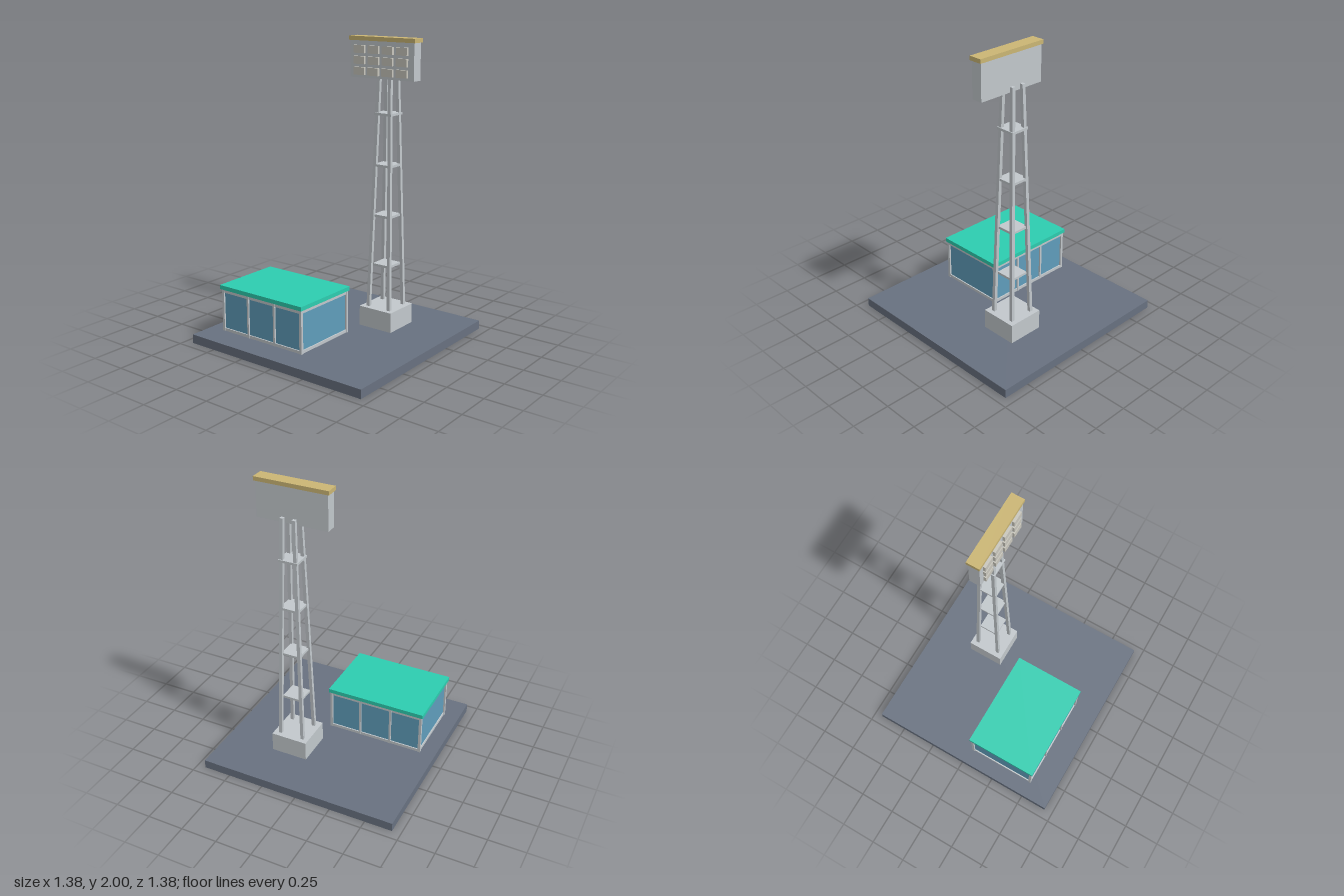
import * as THREE from 'three';

const mat = (name, color) => new THREE.MeshStandardMaterial({ name, color });

export function createModel() {
  const slate = mat('slate', 0x687180);
  const steel = mat('pale steel', 0xc2c8cc);
  const glass = mat('blue glass', 0x5f9dbb);
  const teal = mat('teal roof', 0x2dcdb0);
  const gold = mat('sand gold', 0xcbb674);
  const lampMat = mat('warm lamp', 0xc9c7bd);

  const model = new THREE.Group();
  model.name = 'floodlightTowerSite';

  const group = (name) => {
    const g = new THREE.Group();
    g.name = name;
    model.add(g);
    return g;
  };
  // Box given by its minimum and maximum on each axis
  const box = (parent, name, material, [x0, x1], [y0, y1], [z0, z1]) => {
    const mesh = new THREE.Mesh(new THREE.BoxGeometry(x1 - x0, y1 - y0, z1 - z0), material);
    mesh.position.set((x0 + x1) / 2, (y0 + y1) / 2, (z0 + z1) / 2);
    mesh.name = name;
    parent.add(mesh);
    return mesh;
  };
  const around = (c, half) => [c - half, c + half];

  const ground = 0.06;
  box(model, 'baseSlab', slate, [-0.69, 0.69], [0, ground], [-0.69, 0.69]);

  // Glazed hut
  const hut = group('hut');
  const X = [-0.58, 0.095], Z = [0.03, 0.51];
  const post = 0.014, eave = 0.352;
  box(hut, 'glazing', glass, [X[0] + 0.008, X[1] - 0.008], [ground, eave], [Z[0] + 0.008, Z[1] - 0.008]);
  box(hut, 'roof', teal, [-0.593, 0.106], [eave, 0.38], [0.02, 0.522]);
  for (const [name, y] of [['bottomRail', [ground, 0.08]], ['topRail', [0.328, eave]]]) {
    for (const z of [[Z[0], Z[0] + post], [Z[1] - post, Z[1]]]) box(hut, name, steel, X, y, z);
    for (const x of [[X[0], X[0] + post], [X[1] - post, X[1]]]) box(hut, name, steel, x, y, Z);
  }
  // Corner posts and the two mullions of the long walls
  for (const z of [around(Z[0] + 0.006, 0.009), around(Z[1] - 0.006, 0.009)]) {
    for (const x of [X[0] + 0.005, X[1] - 0.005]) box(hut, 'cornerPost', steel, around(x, 0.009), [ground, eave], z);
    for (const t of [1 / 3, 2 / 3]) {
      box(hut, 'mullion', steel, around(X[0] + t * (X[1] - X[0]), 0.007), [ground, eave], z);
    }
  }

  // Lattice tower
  const tower = group('tower');
  const cx = 0.208, cz = -0.255;
  const legBottom = 0.19, legTop = 1.79;
  box(tower, 'plinth', steel, around(cx, 0.127), [ground, 0.196], around(cz, 0.127));
  for (const sx of [-1, 1]) for (const sz of [-1, 1]) {
    // Square leg leaning inwards from a spread of 0.083 to 0.041
    const geo = new THREE.BoxGeometry(0.023, legTop - legBottom, 0.023);
    const p = geo.attributes.position;
    for (let i = 0; i < p.count; i++) {
      const spread = p.getY(i) < 0 ? 0.083 : 0.041;
      p.setX(i, p.getX(i) + sx * spread);
      p.setZ(i, p.getZ(i) + sz * spread);
    }
    geo.computeVertexNormals();
    const leg = new THREE.Mesh(geo, steel);
    leg.name = 'towerLeg';
    leg.position.set(cx, (legBottom + legTop) / 2, cz);
    tower.add(leg);
  }
  for (const y of [0.487, 0.827, 1.167, 1.506]) {
    box(tower, 'bracePlate', steel, around(cx, 0.066), around(y, 0.008), around(cz, 0.066));
  }

  // Floodlight head with a 4 by 3 grid of lamps
  const head = group('floodlightHead');
  box(head, 'lampPanel', steel, around(cx, 0.245), [1.735, 1.974], [-0.249, -0.174]);
  box(head, 'capStrip', gold, around(cx, 0.254), [1.973, 2], [-0.256, -0.167]);
  for (let col = 0; col < 4; col++) for (let row = 0; row < 3; row++) {
    box(head, 'lamp', lampMat, around(0.205 + (col - 1.5) * 0.109, 0.041),
      around(1.778 + row * 0.07, 0.025), [-0.176, -0.156]);
  }
  return model;
}
